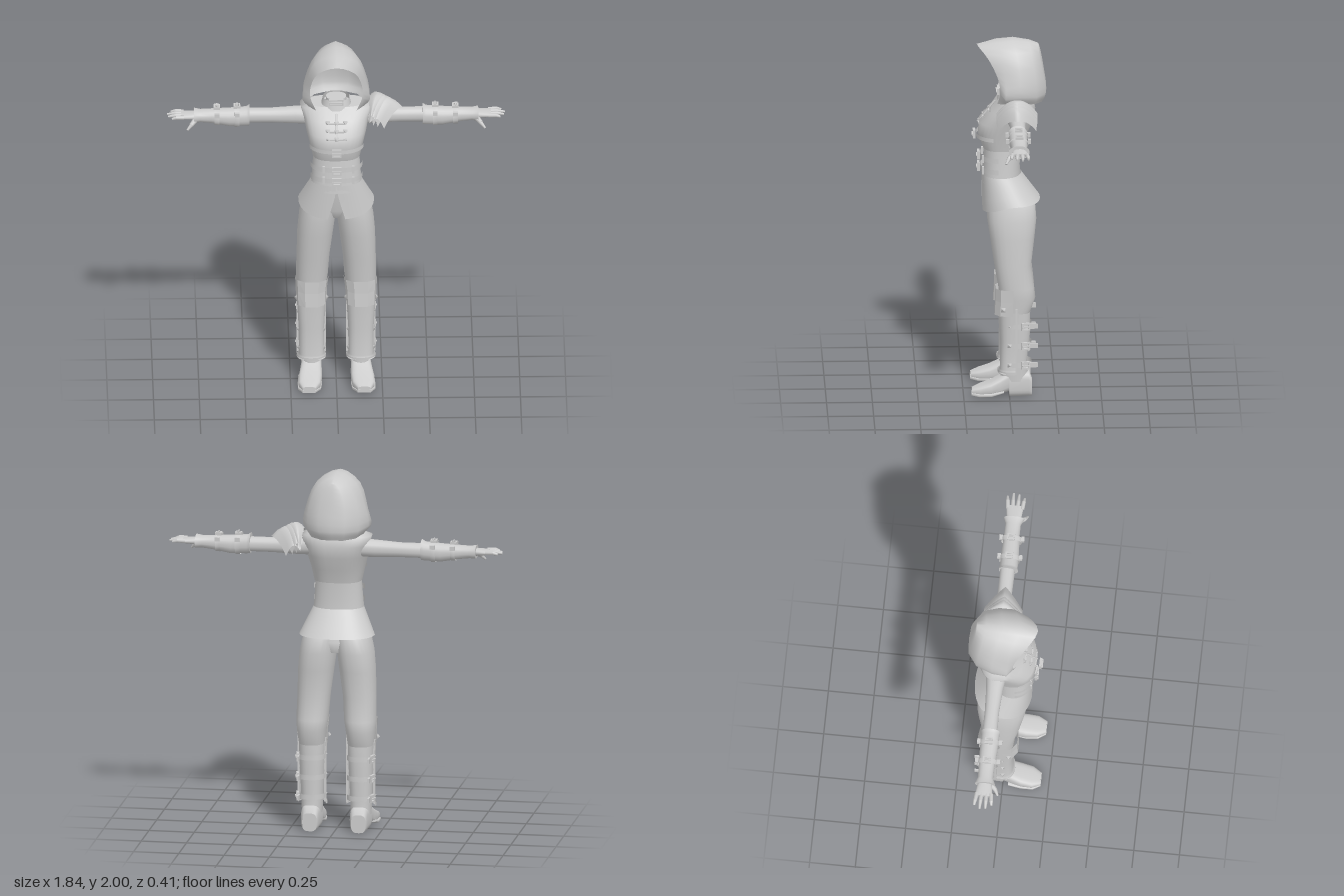
import * as THREE from 'three';
import { mergeVertices, mergeGeometries } from 'three/addons/utils/BufferGeometryUtils.js';

const clay = new THREE.MeshStandardMaterial({ color: 0xcccccc, side: THREE.DoubleSide });
clay.name = 'light grey';

function add(parent, name, geo, x = 0, y = 0, z = 0) {
  const m = new THREE.Mesh(geo, clay);
  m.name = name;
  m.position.set(x, y, z);
  parent.add(m);
  return m;
}

// Surface through rows of points
function grid(rows, flip = false, flat = false) {
  const n = rows[0].length, idx = [];
  for (let j = 0; j < rows.length - 1; j++) for (let i = 0; i < n - 1; i++) {
    const a = j * n + i, b = a + n;
    if (flip) idx.push(a, a + 1, b, a + 1, b + 1, b);
    else idx.push(a, b, a + 1, a + 1, b, b + 1);
  }
  let g = new THREE.BufferGeometry();
  g.setAttribute('position', new THREE.Float32BufferAttribute(rows.flat(2), 3));
  g.setIndex(idx);
  g = flat ? g.toNonIndexed() : mergeVertices(g, 1e-5);
  g.computeVertexNormals();
  return g;
}

// Rounded cross-section point; ring = [along, centre, half width, front, back]
const pw = (v, p) => Math.sign(v) * Math.abs(v) ** (2 / p);
function ringPoint([t, c, h, f, b], a, p, axis) {
  const u = c + h * pw(Math.cos(a), p), v = (f + b) / 2 + (f - b) / 2 * pw(Math.sin(a), p);
  return axis === 'y' ? [u, t, v] : axis === 'x' ? [t, u, v] : [u, v, t];
}
function shell(rings, a0, a1, { n = 24, p = 2.3, axis = 'y', flat = false } = {}) {
  const rows = rings.map(r => Array.from({ length: n + 1 }, (_, i) => ringPoint(r, a0 + (a1 - a0) * i / n, p, axis)));
  return grid(rows, axis !== 'y', flat);
}
function loft(rings, o = {}) {
  const { axis = 'y' } = o;
  const cap = r => shell([[r[0], r[1], 0, (r[3] + r[4]) / 2, (r[3] + r[4]) / 2], r], 0, Math.PI * 2, o);
  const capEnd = r => shell([r, [r[0], r[1], 0, (r[3] + r[4]) / 2, (r[3] + r[4]) / 2]], 0, Math.PI * 2, o);
  return mergeGeometries([shell(rings, 0, Math.PI * 2, o), cap(rings[0]), capEnd(rings.at(-1))]);
}
// Short band around an axis
const band = (t, w, c, h, f, b, a0, a1, o) => shell([[t - w, c, h, f, b], [t + w, c, h, f, b]], a0, a1, o);

// Tapered limb between two points
function limb(parent, name, a, b, ra, rb) {
  const A = new THREE.Vector3(...a), d = new THREE.Vector3(...b).sub(A);
  const m = add(parent, name, new THREE.CylinderGeometry(rb, ra, d.length(), 8), ...A.clone().addScaledVector(d, 0.5));
  m.quaternion.setFromUnitVectors(new THREE.Vector3(0, 1, 0), d.normalize());
}

// Rectangular buckle frame with prong, facing +z
function buckle(parent, w, h, x, y, z) {
  const rect = (T, a, b) => new T([[-a, -b], [a, -b], [a, b], [-a, b]].map(q => new THREE.Vector2(...q)));
  const s = rect(THREE.Shape, w / 2, h / 2);
  s.holes.push(rect(THREE.Path, w / 2 - 0.008, h / 2 - 0.008));
  const g = new THREE.Group();
  g.name = 'buckle';
  add(g, 'buckleFrame', new THREE.ExtrudeGeometry(s, { depth: 0.014, bevelEnabled: false }));
  add(g, 'bucklePin', new THREE.BoxGeometry(w, 0.006, 0.008), 0, 0, 0.016);
  g.position.set(x, y, z);
  parent.add(g);
  return g;
}
function stud(parent, x, y, z, side = false) {
  const m = add(parent, 'stud', new THREE.ConeGeometry(0.018, 0.014, 4).rotateY(Math.PI / 4), x, y, z);
  if (side) m.rotation.z = -Math.PI / 2; else m.rotation.x = Math.PI / 2;
}

function makeHood() {
  const arches = [
    [[.11, 1.655, .065], [.14, 1.72, .05], [.14, 1.8, .06], [.1, 1.9, .11], [0, 1.965, .175]],
    [[.15, 1.66, .02], [.183, 1.7, .02], [.165, 1.79, .02], [.118, 1.93, .04], [0, 1.99, .08]],
    [[.15, 1.66, -.06], [.18, 1.71, -.06], [.165, 1.81, -.06], [.11, 1.94, -.04], [0, 2, -.02]],
    [[.12, 1.655, -.14], [.14, 1.7, -.15], [.135, 1.82, -.14], [.085, 1.94, -.12], [0, 1.985, -.11]],
    [[.06, 1.65, -.18], [.07, 1.7, -.2], [.07, 1.82, -.185], [.045, 1.92, -.165], [0, 1.968, -.16]],
    [[0, 1.65, -.185], [0, 1.7, -.205], [0, 1.82, -.192], [0, 1.92, -.175], [0, 1.966, -.163]],
  ];
  return grid(arches.map(h => {
    const pts = h.concat(h.slice(0, -1).reverse().map(([x, y, z]) => [-x, y, z])).map(q => new THREE.Vector3(...q));
    return new THREE.CatmullRomCurve3(pts).getPoints(24).map(v => v.toArray());
  }), true);
}

function makeSkirt() {
  const rows = [];
  for (let j = 0; j <= 3; j++) {
    const t = j / 3, gap = 0.22 * Math.max(0, t - 0.15), row = [];
    for (let i = 0; i <= 36; i++) {
      const a = Math.PI / 2 + gap + (Math.PI * 2 - gap * 2) * i / 36, s = Math.sin(a);
      const hem = 1.09 - 0.057 * Math.max(0, s);
      row.push(ringPoint([1.235 + (hem - 1.235) * t, 0, .137 + .07 * t, .147, -.065 - .105 * t], a, 2.3, 'y'));
    }
    rows.push(row);
  }
  return grid(rows, true);
}

function makeLeg() {
  const g = new THREE.Group(), C = 0.135, PI = Math.PI;
  add(g, 'trouserLeg', loft([[.47, C, .07, .05, -.11], [.56, C, .08, .058, -.142], [.62, .132, .087, .06, -.135],
    [.75, .126, .09, .083, -.12], [.9, .114, .098, .105, -.138], [1, .103, .1, .12, -.148],
    [1.1, .09, .092, .12, -.14], [1.2, .07, .07, .1, -.06]]));
  add(g, 'bootShaft', loft([[.09, C, .055, .05, -.105], [.2, C, .06, .045, -.095], [.35, C, .066, .045, -.112], [.5, C, .072, .05, -.113]]));
  add(g, 'shinGuard', shell([[.14, C, .08, .062, -.08], [.16, C, .068, .052, -.08], [.32, C, .07, .05, -.09], [.49, C, .08, .06, -.1]], -.25, PI + .25, { n: 12, p: 2.8 }));
  add(g, 'kneeGuard', shell([[.47, C, .083, .085, -.1], [.55, C, .086, .08, -.1], [.62, .132, .092, .08, -.1]], -.05, PI + .05, { n: 5, p: 2.6, flat: true }));
  for (const s of [-1, 1]) add(g, 'shinGuardEdge', new THREE.BoxGeometry(.012, .36, .012), C + s * .074, .33, -.037);
  add(g, 'ankleCuff', band(.145, .008, C, .081, .064, -.09, -.25, PI + .25));
  // Foot with raised heel and flat toe
  add(g, 'bootFoot', loft([[-.122, C, .04, .1, 0], [-.105, C, .05, .14, 0], [0, C, .055, .145, 0], [.004, C, .055, .143, .028],
    [.05, .138, .06, .115, .014], [.1, .143, .064, .087, .01], [.16, .147, .06, .066, .01], [.205, .15, .036, .048, .014]], { axis: 'z', p: 3.2 }));
  add(g, 'sole', loft([[.03, .145, .062, .04, .03], [.1, .145, .067, .03, .008], [.165, .148, .063, .028, .008], [.207, .15, .038, .03, .012]], { axis: 'z', p: 5 }));
  // Calf straps with buckles and studs
  for (const y of [.41, .3, .19]) {
    add(g, 'calfStrap', band(y, .014, C, .076, .06, -.122, PI - .2, PI * 2 + .2));
    const b = buckle(g, .045, .042, C + .064, y, -.085);
    b.rotation.y = PI / 2 + .25;
    add(g, 'strapTip', new THREE.BoxGeometry(.01, .026, .05), C + .06, y, -.128);
    for (const s of [-1, 1]) {
      const holder = new THREE.Group();
      holder.position.x = C;
      holder.scale.x = s;
      stud(holder, .072, y, 0, true);
      if (y === .41) stud(holder, .087, .51, .035, true);
      g.add(holder);
    }
  }
  return g;
}

function makeArm() {
  const g = new THREE.Group(), o = { axis: 'x', n: 18 };
  add(g, 'sleeve', loft([[.12, 1.585, .05, .02, -.1], [.22, 1.582, .047, .005, -.088], [.35, 1.58, .04, -.003, -.082], [.5, 1.58, .04, 0, -.082]], o));
  add(g, 'bracer', loft([[.472, 1.585, .057, .016, -.09], [.49, 1.578, .052, .012, -.087], [.58, 1.573, .05, .011, -.086], [.68, 1.58, .038, .004, -.082],
    [.74, 1.582, .033, .004, -.08], [.775, 1.584, .036, .02, -.093]], o));
  for (const [x, h, y] of [[.54, .056, 1.576], [.65, .047, 1.579]]) {
    add(g, 'bracerStrap', band(x, .013, y, h, .02, -.094, 0, Math.PI * 2, o));
    const b = buckle(g, .042, .036, x, y + h - .002, -.04);
    b.rotation.set(-Math.PI / 2, 0, Math.PI / 2);
    for (const z of [-.095, .024]) add(g, 'strapTip', new THREE.BoxGeometry(.026, .022, .018), x, y + h * .65, z);
  }
  // Hand
  add(g, 'palm', loft([[.75, 1.582, .024, -.005, -.07], [.79, 1.585, .018, .004, -.08], [.845, 1.586, .013, .01, -.086]], o));
  [.895, .915, .92, .9].forEach((x, i) => {
    const z = .002 - i * .026, k = (.5 - i / 3) * .01;
    limb(g, 'finger', [.83, 1.588, z], [.875, 1.59, z + k], .012, .011);
    limb(g, 'fingerTip', [.872, 1.59, z + k], [x, 1.584, z + k * 1.6], .011, .006);
  });
  limb(g, 'thumb', [.762, 1.575, -.01], [.79, 1.552, .022], .017, .012);
  limb(g, 'thumbTip', [.787, 1.554, .02], [.812, 1.528, .036], .012, .006);
  return g;
}

// Layered pointed shoulder plate
function makePauldron() {
  const g = new THREE.Group();
  g.name = 'shoulderGuard';
  [[.18, 0], [.145, .012], [.12, .02]].forEach(([len, lift]) => {
    const rows = [];
    for (let j = 0; j <= 5; j++) rows.push(Array.from({ length: 13 }, (_, i) => {
      const q = i / 6 - 1, s = j / 5;
      return [.18 + s * (len - .1 * Math.abs(q)), 1.66 + lift + .045 * Math.sin(s * 2.6) - .055 * s * s - .085 * q * q, -.04 + (.105 + lift / 3) * q];
    }));
    add(g, 'shoulderPlate', grid(rows, true));
  });
  return g;
}

export function createModel() {
  const model = new THREE.Group();
  model.name = 'hoodedFigure';
  add(model, 'hood', makeHood());
  add(model, 'neck', loft([[1.62, 0, .06, .03, -.09], [1.7, 0, .055, .02, -.08]]));
  add(model, 'collar', shell([[1.65, 0, .085, .065, -.1], [1.705, 0, .072, .05, -.085]], 0, Math.PI * 2));
  buckle(model, .08, .035, 0, 1.7, .05);

  // Torso
  add(model, 'vest', loft([[1.385, 0, .13, .142, -.077], [1.46, 0, .146, .168, -.1], [1.535, 0, .165, .163, -.132],
    [1.6, 0, .18, .1, -.145], [1.655, 0, .198, .06, -.133], [1.668, 0, .15, .05, -.11]], { n: 32, p: 2.6 }));
  add(model, 'corset', loft([[1.19, 0, .142, .148, -.065], [1.28, 0, .133, .143, -.06], [1.39, 0, .125, .135, -.068]], { n: 32 }));
  add(model, 'skirt', makeSkirt());
  add(model, 'hips', loft([[1, 0, .07, .06, -.1], [1.06, 0, .13, .1, -.12], [1.22, 0, .125, .12, -.06]]));

  // Front straps, lacing and studs
  add(model, 'chestStrap', band(1.455, .011, 0, .153, .178, -.1, .3, Math.PI - .3));
  buckle(model, .05, .045, 0, 1.455, .182);
  for (const y of [1.335, 1.27]) {
    add(model, 'waistStrap', band(y, .014, 0, .142, .156, -.068, .1, Math.PI - .1));
    buckle(model, .05, .046, 0, y, .158);
    for (const x of [-.07, .09]) add(model, 'strapLoop', new THREE.BoxGeometry(.014, .042, .012), x, y, .143);
  }
  for (const [y, z] of [[1.595, .113], [1.56, .145], [1.525, .168]]) {
    for (const x of [-.048, 0, .048]) stud(model, x, y, z - Math.abs(x) * .15);
    add(model, 'lace', new THREE.BoxGeometry(.08, .008, .008), 0, y, z - .003);
  }
  limb(model, 'lacing', [0, 1.64, .075], [0, 1.52, .168], .006, .006);

  // Limbs, mirrored
  for (const s of [1, -1]) {
    const side = s > 0 ? 'left' : 'right';
    for (const [name, part] of [['Leg', makeLeg()], ['Arm', makeArm()]]) {
      part.name = side + name;
      part.scale.x = s;
      model.add(part);
    }
  }
  model.add(makePauldron());
  return model;
}
